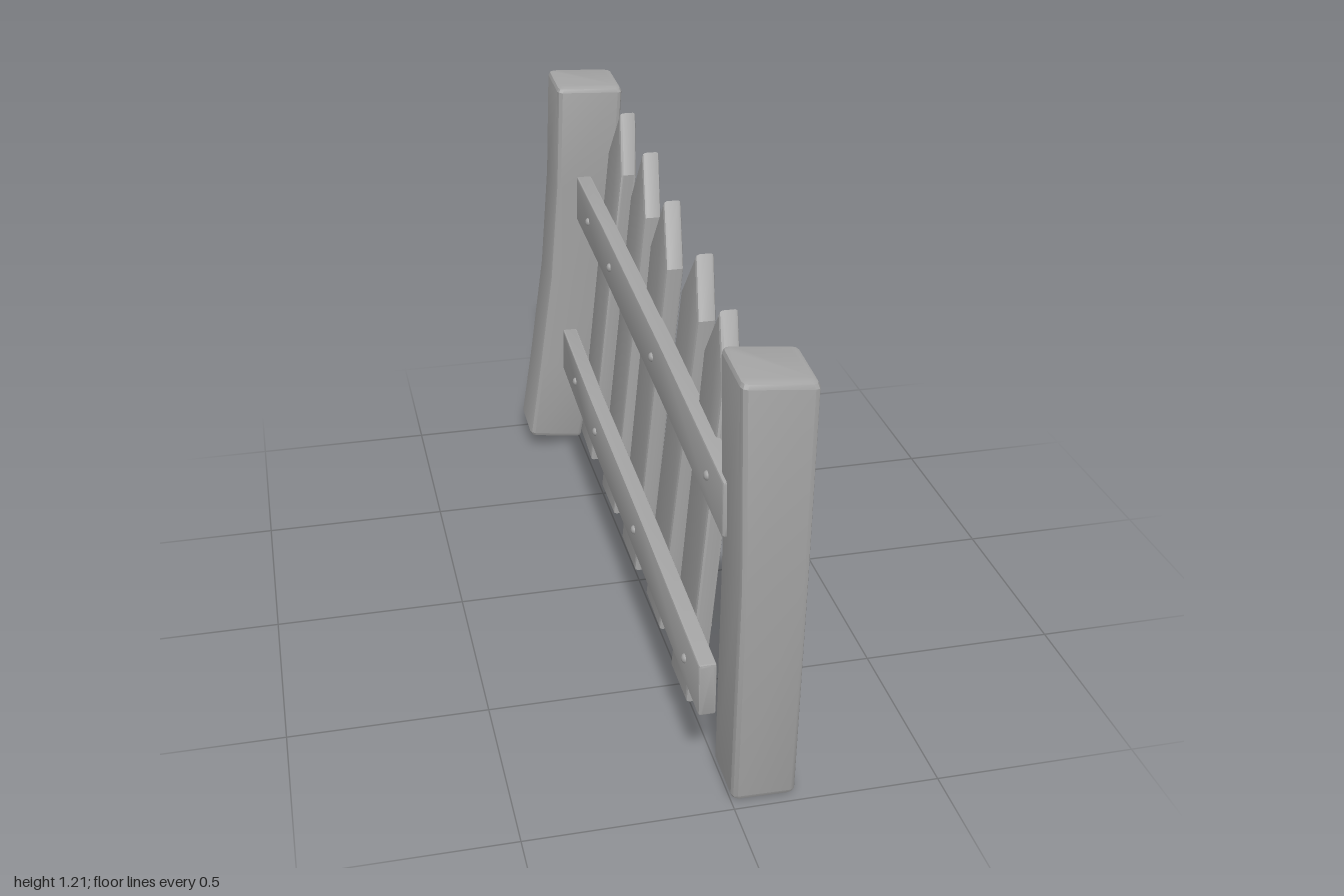
import * as THREE from 'three';
import { toCreasedNormals } from 'three/addons/utils/BufferGeometryUtils.js';

const CREASE = 0.5;

// Rounded rectangle outline, counter-clockwise
function outline(w, d, r) {
  const pts = [];
  const corners = [[1, 1], [-1, 1], [-1, -1], [1, -1]];
  corners.forEach(([sx, sz], q) => {
    for (let k = 0; k <= 2; k++) {
      const a = (q + k / 2) * Math.PI / 2;
      pts.push([sx * (w / 2 - r) + r * Math.cos(a), sz * (d / 2 - r) + r * Math.sin(a)]);
    }
  });
  return pts;
}

// Beam through stations {t, u, v, w, d, su, sv}: t is along the beam, u and v
// the centre, w and d the size, su and sv the slope of the section.
function beam(stations, r) {
  const n = stations.length;
  const rings = [];
  const add = (s, shift, inset) => rings.push(
    outline(s.w - 2 * inset, s.d - 2 * inset, r).map(([a, b]) =>
      [s.u + a, s.t + shift + (s.su || 0) * a + (s.sv || 0) * b, s.v + b]));
  stations.forEach((s, i) => {
    if (i === 0) [[0, 0.9], [0.3, 0.3], [1, 0]].forEach(([h, k]) => add(s, h * r, k * r));
    else if (i === n - 1) [[1, 0], [0.3, 0.3], [0, 0.9]].forEach(([h, k]) => add(s, -h * r, k * r));
    else add(s, 0, 0);
  });

  const m = rings[0].length;
  const pos = rings.flat(2);
  const index = [];
  for (let i = 0; i < rings.length - 1; i++) {
    for (let j = 0; j < m; j++) {
      const a = i * m + j, b = i * m + (j + 1) % m;
      index.push(a, a + m, b, b, a + m, b + m);
    }
  }
  const last = (rings.length - 1) * m;
  for (let j = 1; j < m - 1; j++) {
    index.push(0, j, j + 1, last, last + j + 1, last + j);
  }
  const g = new THREE.BufferGeometry();
  g.setAttribute('position', new THREE.Float32BufferAttribute(pos, 3));
  g.setIndex(index);
  return g;
}

// Turn an upright beam so that it runs along z (u becomes y, v becomes x)
function alongZ(g) {
  const p = g.attributes.position;
  for (let i = 0; i < p.count; i++) p.setXYZ(i, p.getZ(i), p.getX(i), p.getY(i));
  return g;
}

// Pointed board from its [z, y] outline, leaning from x = -0.035 to topX
function picketGeometry(points, topX) {
  const shape = new THREE.Shape(points.map(([z, y]) => new THREE.Vector2(-z, y)));
  const bevel = 0.008;
  const g = new THREE.ExtrudeGeometry(shape, {
    depth: 0.045 - 2 * bevel, bevelThickness: bevel, bevelSize: bevel,
    bevelOffset: -bevel, bevelSegments: 2,
  });
  g.translate(0, 0, bevel).rotateY(Math.PI / 2);
  const p = g.attributes.position;
  for (let i = 0; i < p.count; i++) {
    p.setX(i, p.getX(i) - 0.035 + (topX + 0.035) * (p.getY(i) - 0.1));
  }
  return g;
}

export function createModel() {
  const fence = new THREE.Group();
  fence.name = 'fence';
  const grey = new THREE.MeshStandardMaterial({ color: 0xa3a3a3 });
  grey.name = 'grey';

  const add = (name, geometry) => {
    const mesh = new THREE.Mesh(toCreasedNormals(geometry, CREASE), grey);
    mesh.name = name;
    fence.add(mesh);
    return mesh;
  };

  // Posts
  add('frontPost', beam([
    { t: 0.004, u: 0.078, v: 0.895, w: 0.155, d: 0.165, su: -0.02, sv: -0.02 },
    { t: 0.6, u: 0.081, v: 0.907, w: 0.158, d: 0.167 },
    { t: 1.1, u: 0.075, v: 0.915, w: 0.174, d: 0.17, su: -0.1, sv: -0.08 },
  ], 0.014));
  add('rearPost', beam([
    { t: 0.038, u: -0.083, v: -0.913, w: 0.166, d: 0.166, su: -0.13, sv: -0.05 },
    { t: 0.3, u: -0.047, v: -0.897, w: 0.174, d: 0.166 },
    { t: 0.6, u: -0.007, v: -0.882, w: 0.178, d: 0.168 },
    { t: 0.9, u: 0.017, v: -0.867, w: 0.184, d: 0.17 },
    { t: 1.203, u: 0.029, v: -0.855, w: 0.19, d: 0.172, su: -0.05, sv: -0.06 },
  ], 0.014));

  // Rails rise towards the rear post
  const rail = (name, x, heights) => add(name, alongZ(beam(
    heights.map(([z, y]) => ({ t: z, u: y, v: x, w: 0.14, d: 0.043 })), 0.005)));
  rail('lowerRail', -0.037, [[-0.84, 0.352], [-0.4, 0.318], [0.3, 0.29], [0.88, 0.258]]);
  rail('upperRail', 0.009, [[-0.84, 0.858], [-0.4, 0.835], [0.3, 0.785], [0.88, 0.735]]);

  // Pickets: bottom front, bottom rear, rear shoulder, tip, front shoulder
  const pickets = [
    [0.04, [[0.68, 0.08], [0.52, 0.08], [0.54, 0.965], [0.63, 1.1], [0.71, 0.95]]],
    [0.05, [[0.39, 0.1], [0.23, 0.11], [0.275, 1.0], [0.37, 1.13], [0.445, 0.99]]],
    [0.045, [[0.1, 0.1], [-0.07, 0.105], [-0.035, 1.0], [0.06, 1.15], [0.145, 1.0]]],
    [0.06, [[-0.185, 0.115], [-0.355, 0.115], [-0.34, 1.02], [-0.255, 1.17], [-0.165, 1.02]]],
    [0.055, [[-0.515, 0.115], [-0.675, 0.13], [-0.625, 1.055], [-0.525, 1.195], [-0.45, 1.04]]],
  ];
  pickets.forEach(([topX, pts], i) => add(`picket${i + 1}`, picketGeometry(pts, topX)));

  // Nail heads
  const nailGeometry = new THREE.SphereGeometry(0.012, 8, 6);
  const nail = (name, x, y, z) => {
    const mesh = new THREE.Mesh(nailGeometry, grey);
    mesh.name = name;
    mesh.position.set(x, y, z);
    mesh.scale.x = 0.7;
    fence.add(mesh);
  };
  const picketNails = [
    [[0.665, 0.755], [0.57, 0.79], [0.65, 0.28]],
    [[0.305, 0.795], [0.365, 0.295]],
    [[0.08, 0.785], [-0.015, 0.835], [0.06, 0.3]],
    [[-0.22, 0.815], [-0.305, 0.84], [-0.315, 0.325]],
    [[-0.505, 0.825], [-0.6, 0.845], [-0.63, 0.335]],
  ];
  picketNails.forEach((list, i) => list.forEach(([z, y]) =>
    nail('picketNail', 0.012 + (pickets[i][0] + 0.035) * (y - 0.1), y, z)));
  for (const z of [-0.61, -0.31, 0.2, 0.75]) {
    nail('lowerRailNail', -0.06, 0.303 - 0.055 * z, z);
    nail('upperRailNail', -0.014, 0.805 - 0.07 * z, z);
  }

  return fence;
}
